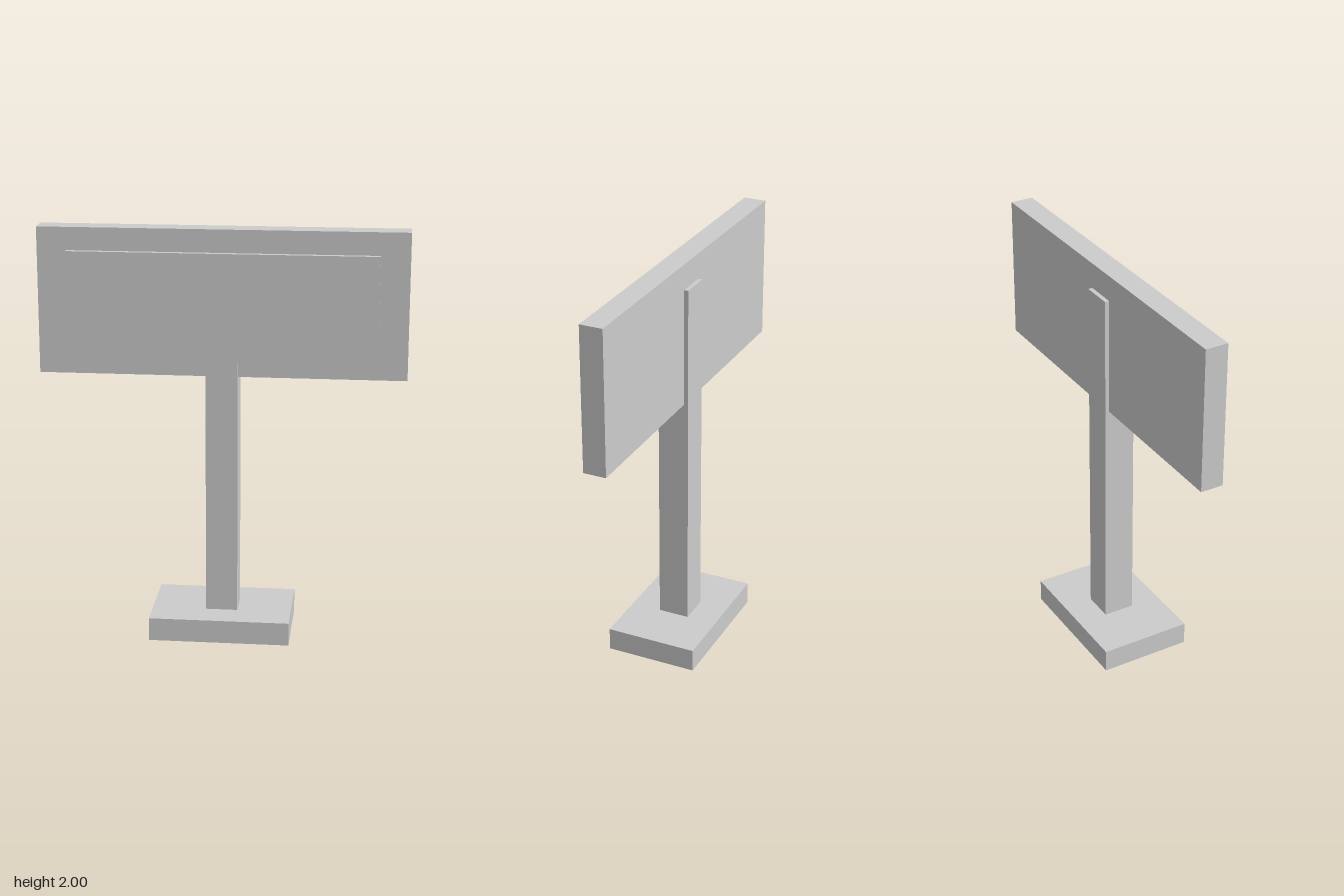
import * as THREE from 'three';

export function createModel() {
  const group = new THREE.Group();
  const material = new THREE.MeshStandardMaterial({ color: 0xcccccc, flatShading: true });

  // Box centred on x, spanning y0..y1 and z0..z1
  function block(name, width, y0, y1, z0, z1) {
    const mesh = new THREE.Mesh(new THREE.BoxGeometry(width, y1 - y0, z1 - z0), material);
    mesh.position.set(0, (y0 + y1) / 2, (z0 + z1) / 2);
    mesh.name = name;
    group.add(mesh);
  }

  block('base', 0.682, 0, 0.114, -0.227, 0.227);
  // The post runs up through the board and shows as a rib behind it
  block('post', 0.154, 0.114, 1.876, -0.077, 0.077);
  block('board', 1.755, 1.296, 2, -0.056, 0.056);
  block('signPanel', 1.476, 1.407, 1.89, 0.056, 0.083);

  group.name = 'signpost';
  return group;
}
